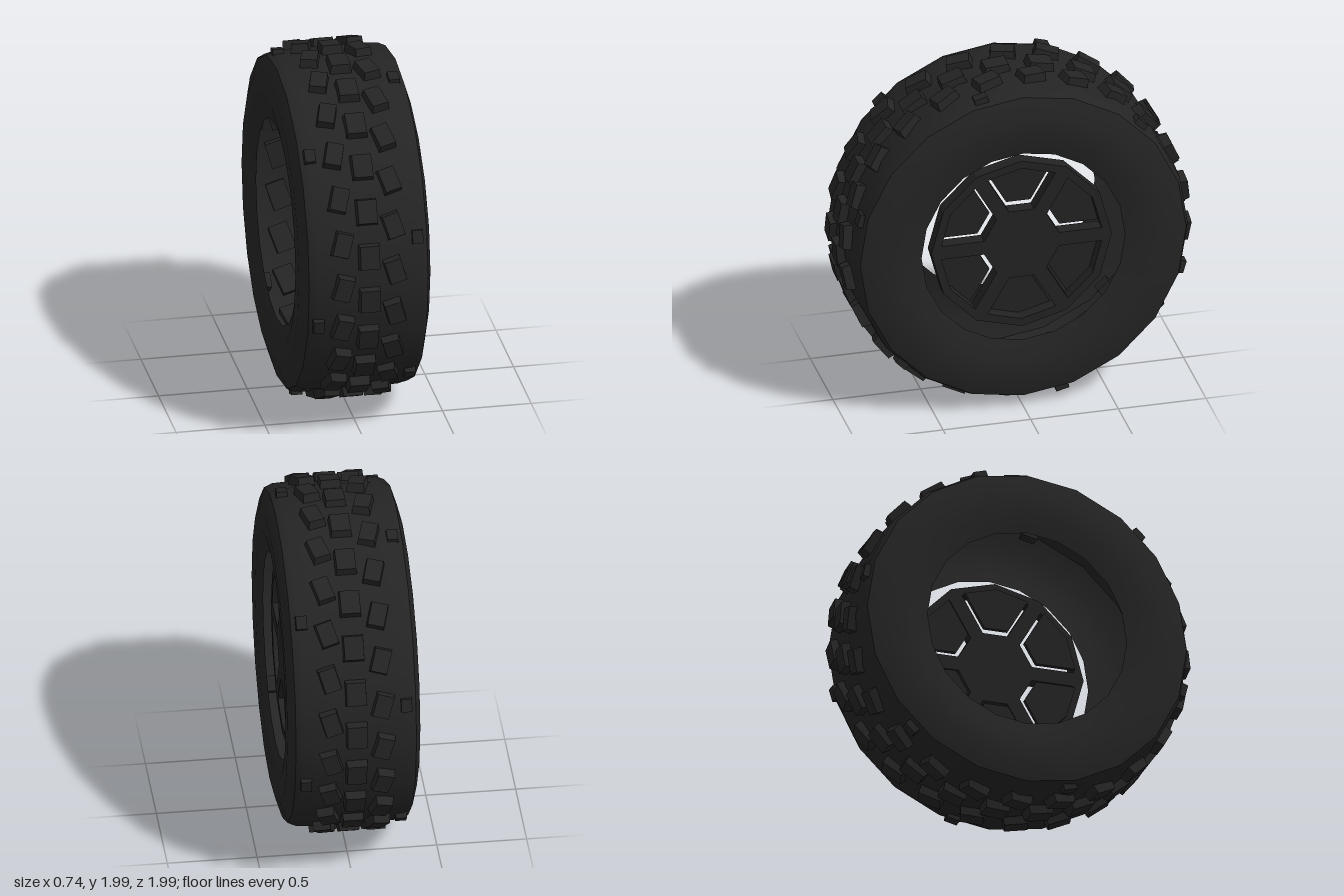
import * as THREE from 'three';

const rubber = new THREE.MeshStandardMaterial({ color: 0x242424, side: THREE.DoubleSide });
rubber.name = 'black rubber';
const rimPaint = new THREE.MeshStandardMaterial({ color: 0x222222 });
rimPaint.name = 'dark rim';

const rad = THREE.MathUtils.degToRad;

function addMesh(parent, name, geometry, material) {
  const mesh = new THREE.Mesh(geometry, material);
  mesh.name = name;
  parent.add(mesh);
  return mesh;
}

// Revolve [axial x, radius] points around the x axis
function revolve(points) {
  const g = new THREE.LatheGeometry(points.map(([x, r]) => new THREE.Vector2(r, x)), 20);
  return g.rotateZ(-Math.PI / 2);
}

// Tapered tread block reaching from radius r0 to r1, wider at its base
function lugGeometry(w, h, r0, r1, taper) {
  const g = new THREE.BoxGeometry(w, h, r1 - r0);
  const p = g.attributes.position;
  for (let i = 0; i < p.count; i++) {
    if (p.getZ(i) < 0) p.setXY(i, p.getX(i) * taper, p.getY(i) * taper);
  }
  g.computeVertexNormals();
  return g.translate(0, 0, (r0 + r1) / 2);
}

// A ring of tread blocks at axial position x
function addLugRow(parent, name, geometry, x, count, startDeg, tiltDeg) {
  const row = new THREE.Group();
  row.name = name;
  const g = geometry.clone().rotateZ(rad(tiltDeg)).translate(x, 0, 0);
  for (let i = 0; i < count; i++) {
    const lug = addMesh(row, 'treadBlock', g, rubber);
    lug.rotation.x = -rad(startDeg + (360 / count) * i);
  }
  parent.add(row);
}

// Corner points of one wheel sector between two spokes:
// hub distance a, spoke half width s, twelve-sided outer radius R
function sector(a, s, R, angle) {
  const t = Math.tan(Math.PI / 6), k = s / Math.cos(Math.PI / 6);
  const c = Math.cos(Math.PI / 12), n = Math.sin(Math.PI / 12);
  const u = (R * c + k * n) / (c + t * n);
  const pts = [[a, -(a * t - k)], [u, -(u * t - k)], [R, 0], [u, u * t - k], [a, a * t - k]];
  return pts.map(([px, py]) => new THREE.Vector2(px, py).rotateAround(new THREE.Vector2(), angle));
}

// Extrude a wheel-plane shape along x from x0 to x1
function plate(shape, x0, x1) {
  const g = new THREE.ExtrudeGeometry(shape, { depth: x1 - x0, bevelEnabled: false });
  return g.translate(0, 0, x0).rotateY(Math.PI / 2);
}

export function createModel() {
  const model = new THREE.Group();
  model.name = 'offRoadWheel';
  const wheel = new THREE.Group();
  wheel.name = 'wheel';
  wheel.position.y = 1;
  model.add(wheel);

  // Hollow tyre: crowned tread and two sidewalls meeting at a sharp shoulder
  const tyre = new THREE.Group();
  tyre.name = 'tyre';
  wheel.add(tyre);
  addMesh(tyre, 'treadBand', revolve([
    [-0.335, 0.93], [-0.29, 0.95], [-0.15, 0.957], [0.15, 0.957], [0.29, 0.95], [0.335, 0.93],
  ]), rubber);
  const wall = [[0.335, 0.93], [0.37, 0.815], [0.365, 0.69], [0.335, 0.58]];
  addMesh(tyre, 'leftSidewall', revolve(wall), rubber);
  addMesh(tyre, 'rightSidewall', revolve(wall.map(([x, r]) => [-x, r]).reverse()), rubber);

  // Tread blocks
  const centreLug = lugGeometry(0.108, 0.132, 0.9, 0.994, 1.2);
  const sideLug = lugGeometry(0.092, 0.13, 0.9, 0.994, 1.2);
  const shoulderLug = lugGeometry(0.06, 0.075, 0.87, 0.967, 1.15);
  addLugRow(tyre, 'centreTread', centreLug, 0, 24, 10.6, 0);
  addLugRow(tyre, 'rightTread', sideLug, -0.148, 24, 0.3, -16);
  addLugRow(tyre, 'leftTread', sideLug, 0.142, 24, 5.5, 16);
  addLugRow(tyre, 'rightShoulderTread', shoulderLug, -0.28, 6, 46, 0);
  addLugRow(tyre, 'leftShoulderTread', shoulderLug, 0.277, 6, 16, 0);

  // Rim: hub, spokes and outer ring cut from one twelve-sided plate
  const rim = new THREE.Group();
  rim.name = 'rim';
  wheel.add(rim);
  const outline = [];
  for (let i = 0; i < 12; i++) {
    const a = (i * Math.PI) / 6;
    outline.push(new THREE.Vector2(0.515 * Math.cos(a), 0.515 * Math.sin(a)));
  }
  const frame = new THREE.Shape(outline);
  for (let i = 0; i < 6; i++) {
    const angle = rad(30 + 60 * i);
    frame.holes.push(new THREE.Path(sector(0.206, 0.041, 0.468, angle)));
    // Recessed panel with a narrow gap along the spokes and hub
    const panel = new THREE.Shape(sector(0.23, 0.055, 0.474, angle));
    addMesh(rim, 'recessedPanel', plate(panel, 0.2, 0.225), rimPaint);
  }
  addMesh(rim, 'spokedFrame', plate(frame, 0.22, 0.3), rimPaint);

  return model;
}
